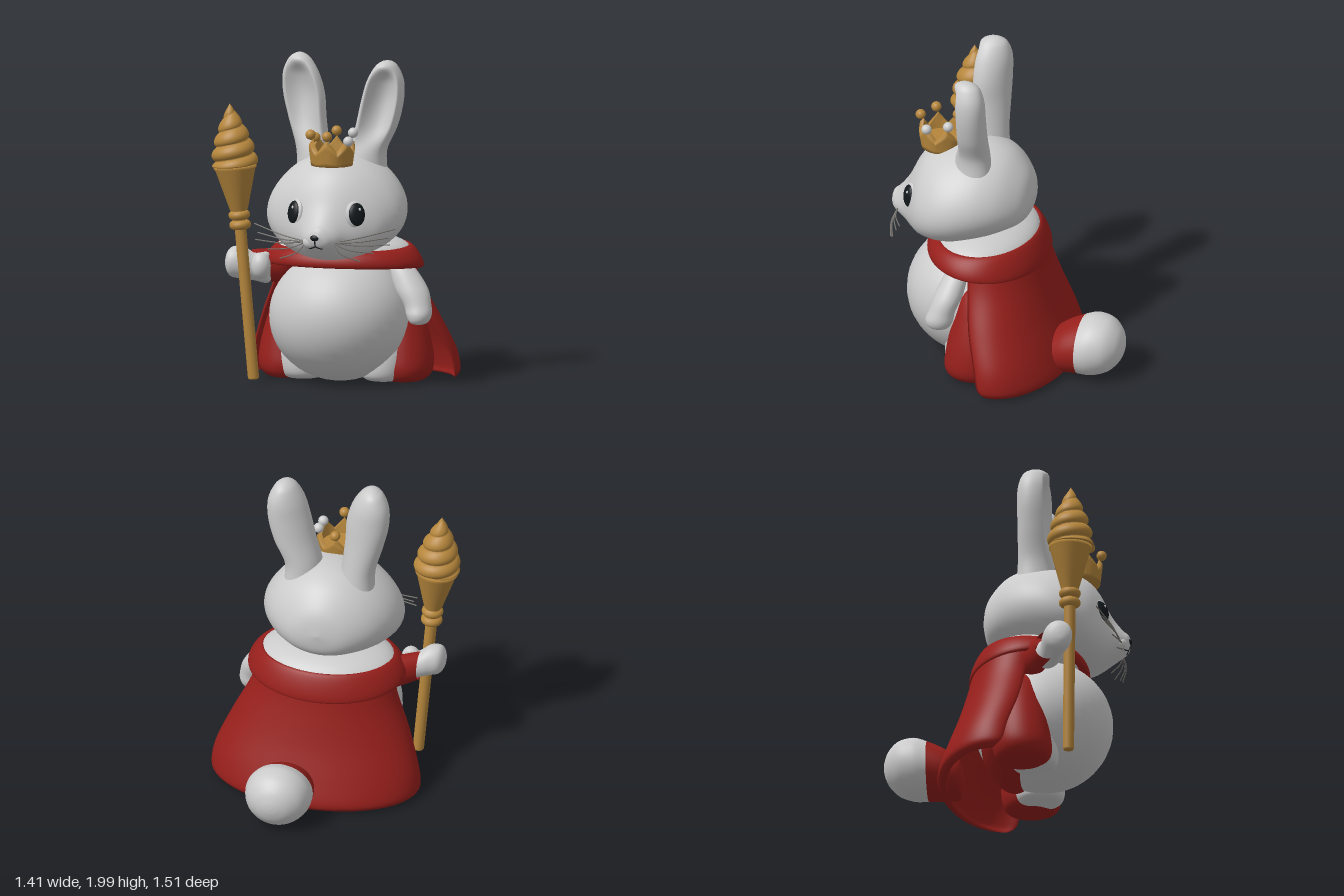
import * as THREE from 'three';

const mat = (color) => new THREE.MeshStandardMaterial({ color, side: THREE.DoubleSide });
const FUR = mat(0xcccccc), RED = mat(0x961f1b), GOLD = mat(0xb5863c), DARK = mat(0x12181b), WHISKER = mat(0x77746f);
const CX = 0.03; // the body's middle line

// Grid surface from f(u, v), closed around u and optionally v; turned so it faces outward
function surface(f, nu, nv, closeV = false) {
  const pos = [], idx = [], rows = closeV ? nv : nv + 1;
  for (let j = 0; j < rows; j++) for (let i = 0; i < nu; i++) pos.push(...f(i / nu, j / nv));
  for (let j = 0; j < nv; j++) for (let i = 0; i < nu; i++) {
    const k = (j + 1) % rows, n = (i + 1) % nu;
    const a = j * nu + i, b = j * nu + n, c = k * nu + n, d = k * nu + i;
    idx.push(a, b, c, a, c, d);
  }
  const p = (i) => new THREE.Vector3().fromArray(pos, idx[i] * 3);
  let volume = 0;
  for (let i = 0; i < idx.length; i += 3) volume += p(i).dot(p(i + 1).cross(p(i + 2)));
  if (volume < 0) idx.reverse();
  const g = new THREE.BufferGeometry();
  g.setAttribute('position', new THREE.Float32BufferAttribute(pos, 3));
  g.setIndex(idx);
  g.computeVertexNormals();
  return g;
}

// Smooth interpolation between the rows of a small section table
function sample(rows, t) {
  const s = t * (rows.length - 1), i = Math.min(Math.floor(s), rows.length - 2), w = s - i;
  const at = (k) => rows[Math.max(0, Math.min(rows.length - 1, k))];
  return rows[i].map((_, c) => {
    const a = at(i - 1)[c], b = at(i)[c], d = at(i + 1)[c], e = at(i + 2)[c];
    return b + 0.5 * w * (d - a + w * (2 * a - 5 * b + 4 * d - e + w * (3 * (b - d) + e - a)));
  });
}

const loft = (rows, ring, nu = 40, nv = 40) =>
  surface((u, v) => ring(sample(rows, v), u * Math.PI * 2), nu, nv);

// Upright limb section: rows [y, x, z, half width, half depth]
const upright = ([y, x, z, w, d], a) => [x + w * Math.cos(a), y, z + d * Math.sin(a)];

export function createModel() {
  const root = new THREE.Group();
  const add = (name, geometry, material, parent = root) => {
    const m = new THREE.Mesh(geometry, material);
    m.name = name;
    parent.add(m);
    return m;
  };
  const ball = (name, p, r, material, parent = root) => {
    const m = add(name, new THREE.SphereGeometry(1, 36, 24), material, parent);
    m.position.set(...p);
    m.scale.set(...r);
    return m;
  };
  const wire = (name, pts, r, material) => add(name, new THREE.TubeGeometry(
    new THREE.CatmullRomCurve3(pts.map((p) => new THREE.Vector3(...p))), 14, r, 6), material);

  // Body, neck and the red robe behind the belly
  ball('body', [CX, 0.41, 0.22], [0.43, 0.395, 0.42], FUR);
  ball('neck', [CX, 0.8, 0.14], [0.42, 0.125, 0.3], FUR);
  ball('robe', [0.035, 0.42, 0.04], [0.46, 0.39, 0.22], RED);

  // Haunches and feet, flat underneath
  for (const s of [-1, 1]) {
    const leg = (rows) => loft(rows.map(([y, x, ...rest]) => [y, 0.04 + s * x, ...rest]), upright);
    add('haunch', leg([[0.015, 0.36, 0.12, 0, 0], [0.02, 0.365, 0.12, 0.11, 0.13], [0.08, 0.37, 0.12, 0.165, 0.175],
      [0.2, 0.37, 0.11, 0.165, 0.175], [0.38, 0.36, 0.1, 0.13, 0.15], [0.56, 0.34, 0.09, 0.08, 0.11], [0.64, 0.33, 0.08, 0, 0]]), RED);
    add('foot', leg([[0.018, 0.25, 0.18, 0, 0], [0.023, 0.25, 0.18, 0.1, 0.1], [0.07, 0.255, 0.18, 0.14, 0.145],
      [0.2, 0.27, 0.17, 0.145, 0.15], [0.36, 0.28, 0.15, 0.13, 0.12], [0.52, 0.28, 0.13, 0, 0]]), FUR);
  }

  // Head: sections along z [z, bottom, top, half width], wider at the cheeks
  const head = [
    [-0.145, 1.1, 1.1, 0], [-0.125, 0.99, 1.21, 0.13], [-0.08, 0.93, 1.29, 0.22], [0, 0.89, 1.37, 0.31],
    [0.1, 0.85, 1.415, 0.375], [0.2, 0.82, 1.425, 0.41], [0.3, 0.795, 1.415, 0.42], [0.4, 0.785, 1.39, 0.4],
    [0.5, 0.785, 1.34, 0.335], [0.57, 0.8, 1.255, 0.245], [0.635, 0.83, 1.12, 0.15], [0.7, 0.87, 1.03, 0.095],
    [0.735, 0.9, 1.0, 0.055], [0.75, 0.955, 0.955, 0]];
  add('head', loft(head, ([z, lo, hi, w], a) => {
    const s = Math.sin(a);
    return [CX + w * Math.cos(a) * (1 - 0.18 * s), (lo + hi) / 2 + s * (hi - lo) / 2, z];
  }, 56, 64), FUR);

  // Eyes
  for (const s of [-1, 1]) {
    const eye = new THREE.Group();
    eye.name = 'eye';
    eye.position.set(0.037 + s * 0.193, 1.08, 0.58);
    eye.rotation.set(-0.15, s * 0.72, 0, 'YXZ');
    root.add(eye);
    ball('eyelid', [0, 0, -0.006], [0.069, 0.084, 0.024], FUR, eye);
    ball('eyeball', [0, 0, 0.004], [0.055, 0.07, 0.027], DARK, eye);
    ball('eyeGlint', [0.012, 0.03, 0.027], [0.008, 0.01, 0.005], FUR, eye);
  }

  // Nose, mouth and whiskers
  ball('nose', [0.015, 0.95, 0.738], [0.03, 0.019, 0.017], DARK);
  wire('mouthLine', [[0.015, 0.94, 0.75], [0.015, 0.92, 0.745], [0.015, 0.898, 0.733]], 0.004, DARK);
  for (const s of [-1, 1]) {
    wire('mouth', [[0.015, 0.898, 0.733], [0.015 + s * 0.03, 0.885, 0.72], [0.015 + s * 0.06, 0.89, 0.7]], 0.004, DARK);
    ball('muzzle', [0.02 + s * 0.038, 0.918, 0.69], [0.055, 0.042, 0.042], FUR);
    for (const [dx, y, z] of [[0.44, 1, 0.57], [0.41, 0.95, 0.6], [0.42, 0.91, 0.62], [0.33, 0.86, 0.66], [0.25, 0.81, 0.68]])
      wire('whisker', [[CX + s * 0.08, 0.92, 0.69], [CX + s * dx * 0.55, (0.93 + y) / 2 - 0.015, (0.74 + z) / 2], [CX + s * dx, y, z]], 0.004, WHISKER);
  }

  // Ears: sections [y, centre x, half width, half depth, hollow], scooped at the front
  const ear = (rows) => add('ear', loft(rows, ([y, x, w, d, hollow], a) => {
    const c = Math.cos(a), s = Math.sin(a);
    const dish = s > 0 ? hollow * Math.max(0, 1 - (c / 0.8) ** 2) : 0;
    return [x + w * c, y, 0.195 + d * s - dish + 0.1 * c * (x > 0 ? -w : w) * 2];
  }, 64, 48), FUR);
  ear([[1.28, -0.13, 0.12, 0.125, 0], [1.42, -0.145, 0.108, 0.115, 0.02], [1.6, -0.18, 0.122, 0.113, 0.08],
    [1.75, -0.202, 0.135, 0.113, 0.105], [1.87, -0.22, 0.118, 0.11, 0.085], [1.955, -0.228, 0.076, 0.085, 0.01],
    [1.99, -0.23, 0.035, 0.045, 0], [2, -0.23, 0, 0, 0]]);
  ear([[1.28, 0.19, 0.12, 0.125, 0], [1.42, 0.2, 0.108, 0.115, 0.02], [1.57, 0.252, 0.122, 0.113, 0.08],
    [1.72, 0.287, 0.124, 0.113, 0.105], [1.84, 0.305, 0.108, 0.11, 0.085], [1.925, 0.312, 0.07, 0.085, 0.01],
    [1.96, 0.315, 0.035, 0.045, 0], [1.97, 0.315, 0, 0, 0]]);

  // Crown: band with six peaks, each topped by a ball
  const crown = new THREE.Group();
  crown.name = 'crown';
  crown.position.set(0.037, 1.355, 0.435);
  root.add(crown);
  add('crownBand', surface((u, v) => {
    const peak = Math.abs(((u * 6) % 1) - 0.5) * 2;
    const h = 0.09 + 0.075 * peak, outer = v < 0.5;
    const t = outer ? v * 2 : 2 - v * 2;
    const r = 0.126 + 0.016 * t - (outer ? 0 : 0.026), a = u * Math.PI * 2;
    return [r * Math.sin(a), h * t, r * Math.cos(a)];
  }, 96, 12, true), GOLD, crown);
  add('crownFloor', new THREE.CylinderGeometry(0.125, 0.125, 0.05, 40), GOLD, crown).position.y = 0.03;
  for (let i = 0; i < 6; i++) {
    const a = i * Math.PI / 3 + 0.05;
    ball('crownBall', [0.134 * Math.sin(a), i % 3 === 1 ? 0.155 : 0.19, 0.134 * Math.cos(a)], [0.031, 0.031, 0.031], i === 1 || i === 2 ? FUR : GOLD, crown);
  }

  // Collar: sloping padded ring, higher at the back
  add('collar', surface((u, v) => {
    const a = u * Math.PI * 2, b = v * Math.PI * 2, front = (1 + Math.cos(a)) / 2;
    const s = Math.cos(b), k = 0.9 + 0.1 * s;
    const y = 0.765 + 0.015 * front - s * (0.075 - 0.05 * front) + Math.sin(b) * 0.043;
    return [0.035 + 0.485 * k * Math.sin(a), y, 0.135 + 0.365 * k * Math.cos(a)];
  }, 64, 20, true), RED);

  // Cape: thick open arc, rows [y, centre x, half width, centre z, depth, edge angle, thickness]
  const cape = [
    [0.8, 0.03, 0.38, 0.1, 0.28, 0.2, 0], [0.76, 0.03, 0.42, 0.1, 0.3, 0.2, 0.04], [0.6, 0.035, 0.47, 0.07, 0.31, 0.25, 0.05],
    [0.4, 0.045, 0.56, 0.03, 0.33, 0.25, 0.05], [0.2, 0.055, 0.64, -0.02, 0.355, 0.2, 0.055],
    [0.07, 0.055, 0.665, -0.03, 0.39, 0.12, 0.06], [0.025, 0.055, 0.64, -0.03, 0.375, 0, 0.04], [0.015, 0.055, 0.61, -0.03, 0.35, -0.05, 0]];
  add('cape', surface((u, v) => {
    const [y, x, w, z, d, edge, thick] = sample(cape, v);
    // u runs along the outside and returns on the inside, rounded at the edges
    const along = Math.cos(u * Math.PI * 2), side = Math.sin(u * Math.PI * 2);
    const a = Math.asin(along) * (1 + edge / (Math.PI / 2));
    const inset = thick * (0.5 - 0.5 * Math.sign(side) * Math.sqrt(Math.abs(side)));
    return [x + (w - inset) * Math.sin(a), y, z - (d - inset) * Math.cos(a)];
  }, 120, 36), RED);

  // Tail: egg split into a red root and a pale tip, rows [z, centre y, half width, half height]
  const round = ([z, y, w, h], a) => [0.155 + w * Math.cos(a), y + h * Math.sin(a), z];
  add('tailRoot', loft([[-0.26, 0.13, 0, 0], [-0.29, 0.135, 0.13, 0.11], [-0.38, 0.17, 0.175, 0.155], [-0.49, 0.2, 0.197, 0.18]], round), RED);
  add('tailTip', loft([[-0.49, 0.2, 0.197, 0.18], [-0.57, 0.213, 0.202, 0.192], [-0.66, 0.22, 0.174, 0.167],
    [-0.72, 0.222, 0.115, 0.11], [-0.748, 0.222, 0.05, 0.048], [-0.755, 0.222, 0, 0]], round), FUR);

  // Hanging arm
  add('leftArm', loft([[0.75, 0.42, 0.22, 0, 0], [0.72, 0.42, 0.22, 0.07, 0.06], [0.6, 0.48, 0.25, 0.103, 0.085],
    [0.5, 0.53, 0.28, 0.084, 0.08], [0.44, 0.543, 0.295, 0.076, 0.084], [0.395, 0.543, 0.3, 0.052, 0.062], [0.38, 0.543, 0.3, 0, 0]], upright), FUR);

  // Raised arm in a red sleeve, rows [x, y, z, radius]
  const limb = ([x, y, z, r], a) => [x, y + r * Math.cos(a), z + r * 0.9 * Math.sin(a)];
  add('rightSleeve', loft([[-0.25, 0.68, 0.12, 0], [-0.3, 0.69, 0.15, 0.1], [-0.4, 0.7, 0.22, 0.1], [-0.5, 0.71, 0.285, 0.09]], limb), RED);
  add('rightArm', loft([[-0.38, 0.69, 0.26, 0], [-0.4, 0.69, 0.27, 0.09], [-0.48, 0.7, 0.31, 0.085], [-0.55, 0.725, 0.34, 0.098],
    [-0.61, 0.73, 0.355, 0.09], [-0.638, 0.73, 0.36, 0.05], [-0.645, 0.73, 0.36, 0]], limb), FUR);
  ball('rightThumb', [-0.43, 0.71, 0.35], [0.06, 0.08, 0.06], FUR);

  // Staff: rod, rings and cone topped by a spiral swirl
  const staff = new THREE.Group();
  staff.name = 'staff';
  staff.position.set(-0.46, 0.025, 0.405);
  staff.rotation.set(0.015, 0, 0.085);
  root.add(staff);
  const profile = [[0, 0], [0.028, 0.002], [0.034, 0.012], [0.035, 0.9], [0.04, 1.02], [0.055, 1.04], [0.122, 1.285], [0.13, 1.29], [0.13, 1.31], [0, 1.31]];
  add('staffRod', new THREE.LatheGeometry(profile.map((p) => new THREE.Vector2(...p)), 28), GOLD, staff);
  for (const y of [0.945, 1.005]) {
    const ring = add('staffRing', new THREE.TorusGeometry(0.038, 0.028, 14, 32), GOLD, staff);
    ring.rotation.x = Math.PI / 2;
    ring.position.y = y;
  }
  add('staffSwirl', surface((u, t) => {
    const bump = Math.abs(Math.sin(Math.PI * (4.5 * t + u)));
    const r = 0.142 * (1 - t ** 1.9) * Math.min(1, t * 20) * (0.76 + 0.26 * Math.sqrt(bump));
    const a = u * Math.PI * 2;
    return [r * Math.cos(a), 1.29 + 0.395 * t, r * Math.sin(a)];
  }, 48, 90), GOLD, staff);

  return root;
}
